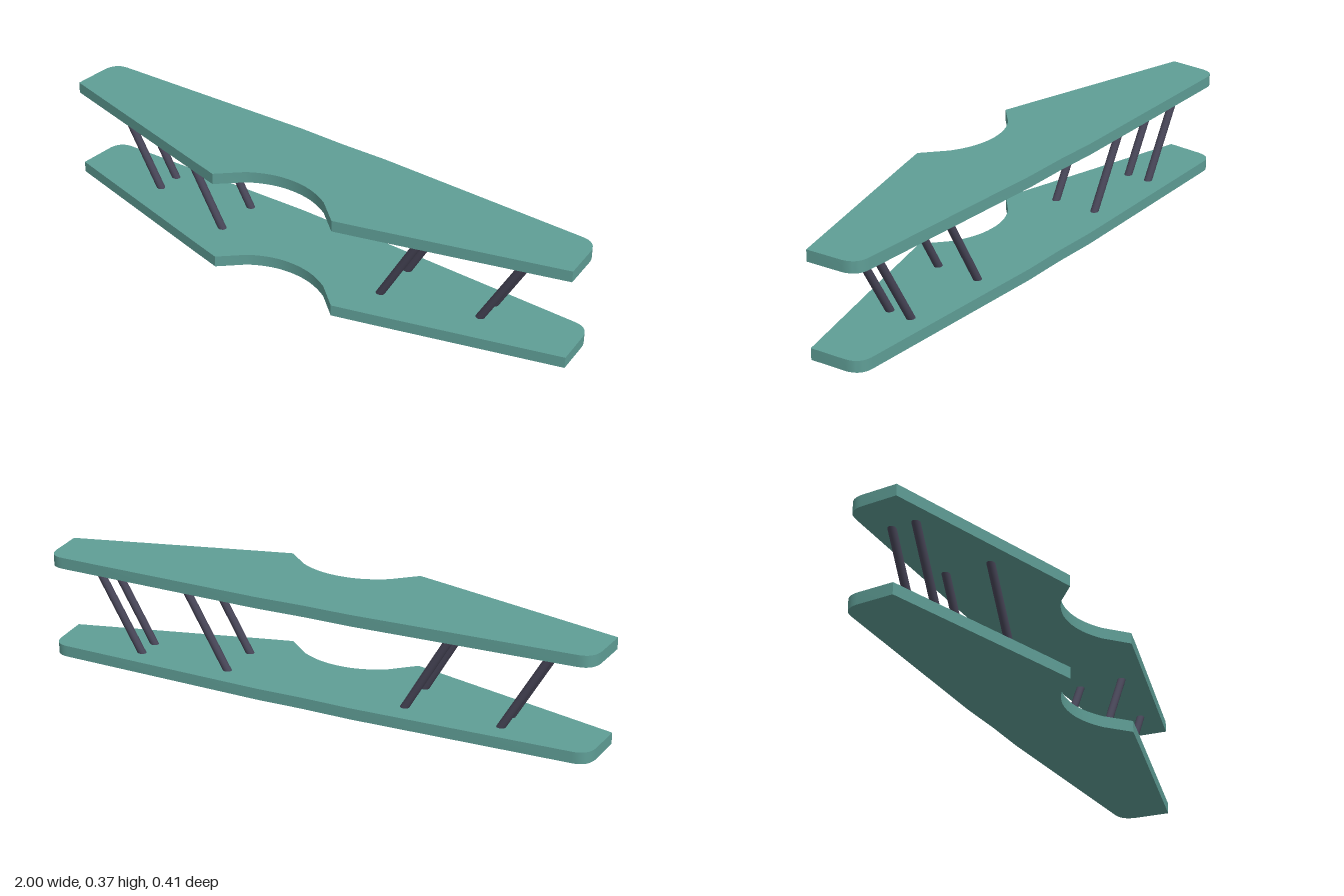
import * as THREE from 'three';
import { toCreasedNormals } from 'three/addons/utils/BufferGeometryUtils.js';

const wingMaterial = new THREE.MeshStandardMaterial({ color: 0x5f9e96 });
const strutMaterial = new THREE.MeshStandardMaterial({ color: 0x474557 });

const THICKNESS = 0.04;
const TOP_Y = 0.33; // underside of the upper wing

// Plan outline of a wing, drawn as (x, -z)
function wingShape() {
  const s = new THREE.Shape();
  s.moveTo(0, 0.202);
  s.lineTo(0.17, 0.205);
  s.lineTo(0.93, 0.184);
  s.bezierCurveTo(0.97, 0.183, 0.985, 0.16, 0.99, 0.13);
  s.lineTo(1, 0);
  s.lineTo(0.34, -0.177);
  s.lineTo(0.24, -0.203);
  // cockpit cut-out
  s.lineTo(0.158, -0.13);
  s.bezierCurveTo(0.1, -0.094, 0.05, -0.083, 0, -0.083);
  s.bezierCurveTo(-0.05, -0.083, -0.1, -0.094, -0.158, -0.13);
  s.lineTo(-0.24, -0.203);
  s.lineTo(-0.34, -0.177);
  s.lineTo(-1, 0);
  s.lineTo(-0.99, 0.13);
  s.bezierCurveTo(-0.985, 0.16, -0.97, 0.183, -0.93, 0.184);
  s.lineTo(-0.17, 0.205);
  s.closePath();
  return s;
}

// Round bar between two points
function bar(name, a, b, radius) {
  const dir = new THREE.Vector3().subVectors(b, a);
  const mesh = new THREE.Mesh(new THREE.CylinderGeometry(radius, radius, dir.length(), 16), strutMaterial);
  mesh.name = name;
  mesh.position.addVectors(a, b).multiplyScalar(0.5);
  mesh.quaternion.setFromUnitVectors(new THREE.Vector3(0, 1, 0), dir.normalize());
  return mesh;
}

export function createModel() {
  const model = new THREE.Group();
  model.name = 'biplaneWings';

  // Two identical wings, one above the other
  const flat = new THREE.ExtrudeGeometry(wingShape(), { depth: THICKNESS, bevelEnabled: false, curveSegments: 8 });
  flat.rotateX(-Math.PI / 2);
  const wingGeometry = toCreasedNormals(flat, 0.6);
  for (const [name, y] of [['lowerWing', 0], ['upperWing', TOP_Y]]) {
    const wing = new THREE.Mesh(wingGeometry, wingMaterial);
    wing.name = name;
    wing.position.y = y;
    model.add(wing);
  }

  // Slanted struts, leaning outwards, mirrored left and right
  const struts = [
    ['innerFrontStrut', 0.33, 0.048],
    ['innerRearStrut', 0.33, -0.115],
    ['outerFrontStrut', 0.667, -0.03],
    ['outerRearStrut', 0.667, -0.115],
  ];
  const lean = 0.165 / (TOP_Y - THICKNESS);
  const sink = 0.012; // how far the ends reach into the wings
  for (const [side, label] of [[1, 'left'], [-1, 'right']]) {
    const group = new THREE.Group();
    group.name = label + 'Struts';
    for (const [name, x, z] of struts) {
      group.add(bar(
        name,
        new THREE.Vector3(side * (x - sink * lean), THICKNESS - sink, z),
        new THREE.Vector3(side * (x + 0.165 + sink * lean), TOP_Y + sink, z),
        0.014
      ));
    }
    model.add(group);
  }
  return model;
}
